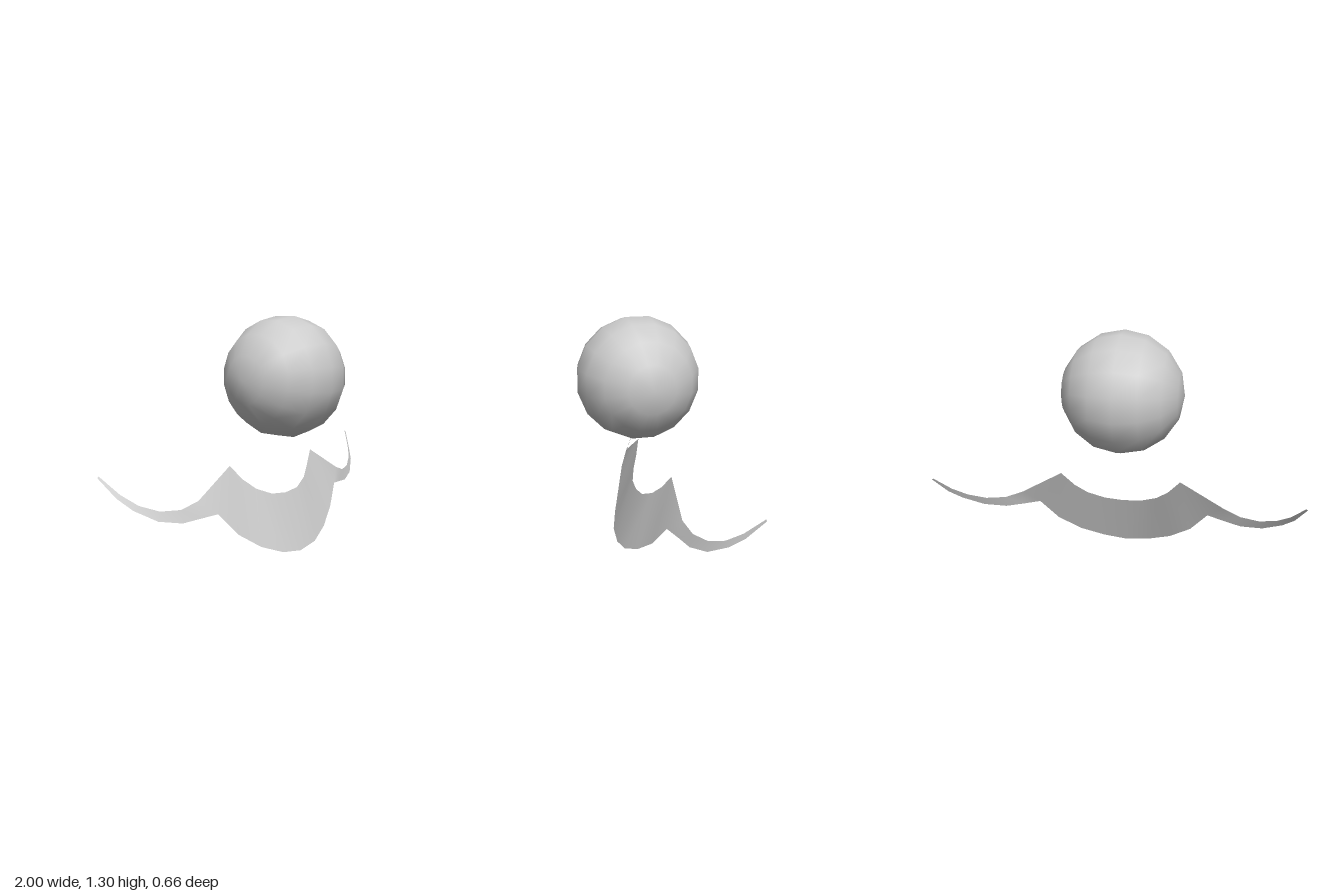
import * as THREE from 'three';

const grey = (side = THREE.FrontSide) => new THREE.MeshStandardMaterial({ color: 0xcccccc, side });

// Cross-sections of the left half: upper edge point, then lower edge point
const halfSections = [
  [0, 0.315, 0.007, 0, 0.0, 0.12],
  [0.105, 0.325, 0.0, 0.135, 0.02, 0.11],
  [0.2, 0.365, -0.03, 0.267, 0.073, 0.07],
  [0.267, 0.422, -0.064, 0.39, 0.16, 0.02],
  [0.335, 0.503, -0.096, 0.487, 0.281, -0.027],
  [0.572, 0.36, -0.08, 0.58, 0.271, -0.058],
  [0.668, 0.327, -0.103, 0.674, 0.261, -0.086],
  [0.77, 0.332, -0.144, 0.79, 0.286, -0.134],
  [0.86, 0.37, -0.195, 0.89, 0.35, -0.2],
  [0.925, 0.428, -0.254, 0.945, 0.412, -0.258],
  [0.99, 0.519, -0.332, 1.0, 0.513, -0.33],
];

// Thin curved sheet lofted through the mirrored sections
function sheetGeometry() {
  const mirror = ([a, b, c, d, e, f]) => [-a, b, c, -d, e, f];
  const sections = [...halfSections.slice(1).reverse().map(mirror), ...halfSections];
  const index = [];
  for (let i = 0; i < sections.length - 1; i++) {
    const t = 2 * i, b = t + 1, t2 = t + 2, b2 = t + 3;
    // Diagonals are mirrored about the centre
    if (i < (sections.length - 1) / 2) index.push(t, b, b2, t, b2, t2);
    else index.push(t, b, t2, b, b2, t2);
  }
  const geometry = new THREE.BufferGeometry();
  geometry.setAttribute('position', new THREE.Float32BufferAttribute(sections.flat(), 3));
  geometry.setIndex(index);
  geometry.computeVertexNormals();
  return geometry;
}

export function createModel() {
  const group = new THREE.Group();

  // Ball with its poles on the x axis and a flat facet on top
  const ballGeometry = new THREE.SphereGeometry(0.336, 16, 8);
  ballGeometry.rotateZ(Math.PI / 2).rotateX(Math.PI / 16);
  const ball = new THREE.Mesh(ballGeometry, grey());
  ball.name = 'ball';
  ball.position.y = 0.966;
  group.add(ball);

  // Crescent with swept-back wings
  const crescent = new THREE.Mesh(sheetGeometry(), grey(THREE.DoubleSide));
  crescent.name = 'wingedCrescent';
  group.add(crescent);

  return group;
}
